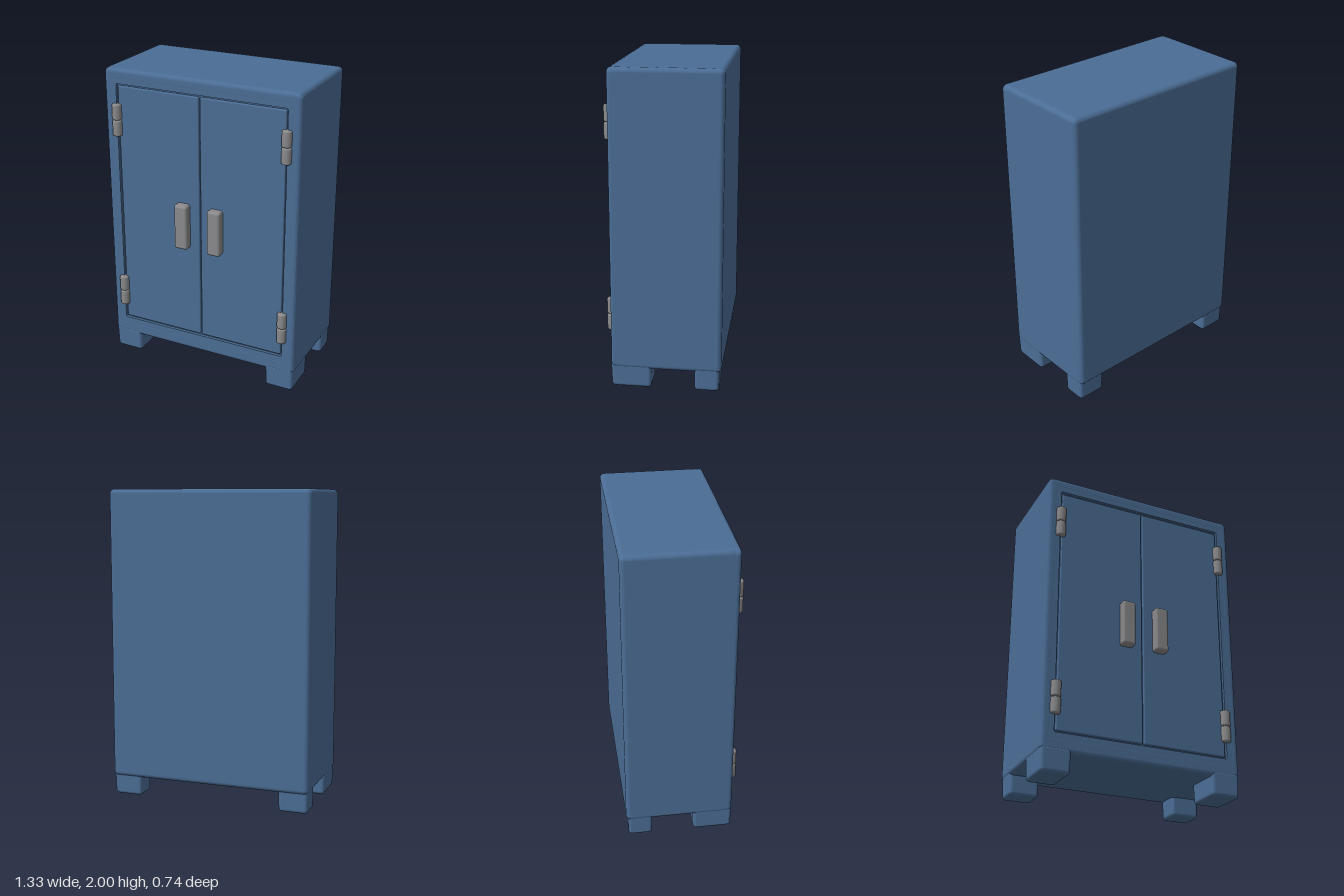
import * as THREE from 'three';
import { RoundedBoxGeometry } from 'three/addons/geometries/RoundedBoxGeometry.js';

const blue = new THREE.MeshStandardMaterial({ color: 0x4b6d95 });
blue.name = 'blue paint';
const grey = new THREE.MeshStandardMaterial({ color: 0x8a8a8c });
grey.name = 'grey metal';

// Rounded box given by its two extreme corners
function roundedBox(name, material, [x0, y0, z0], [x1, y1, z1], radius) {
  const geometry = new RoundedBoxGeometry(x1 - x0, y1 - y0, z1 - z0, 4, radius);
  const mesh = new THREE.Mesh(geometry, material);
  mesh.position.set((x0 + x1) / 2, (y0 + y1) / 2, (z0 + z1) / 2);
  mesh.name = name;
  return mesh;
}

// Rounded rectangle centred on x = 0
function roundRect(Type, halfWidth, y0, y1, r) {
  const p = new Type();
  p.moveTo(-halfWidth + r, y0);
  p.lineTo(halfWidth - r, y0);
  p.absarc(halfWidth - r, y0 + r, r, -Math.PI / 2, 0);
  p.absarc(halfWidth - r, y1 - r, r, 0, Math.PI / 2);
  p.absarc(-halfWidth + r, y1 - r, r, Math.PI / 2, Math.PI);
  p.absarc(-halfWidth + r, y0 + r, r, Math.PI, Math.PI * 1.5);
  return p;
}

export function createModel() {
  const model = new THREE.Group();
  model.name = 'cabinet';

  // Case, whose front face is the floor of the grooves round the doors
  model.add(roundedBox('case', blue, [-0.665, 0.125, -0.37], [0.665, 2, 0.3], 0.03));

  // Front frame with soft outer edges
  const bevel = 0.025;
  const outer = roundRect(THREE.Shape, 0.665 - bevel, 0.125 + bevel, 2 - bevel, 0.01);
  outer.holes.push(roundRect(THREE.Path, 0.62, 0.2, 1.945, 0.01));
  const frameGeometry = new THREE.ExtrudeGeometry(outer, {
    depth: 0.04, bevelSize: bevel, bevelThickness: bevel, bevelSegments: 4, curveSegments: 4,
  });
  const frame = new THREE.Mesh(frameGeometry, blue);
  frame.position.z = 0.255;
  frame.name = 'frontFrame';
  model.add(frame);

  // Crisp inner rim of the frame
  const rimShape = roundRect(THREE.Shape, 0.63, 0.18, 1.965, 0.01);
  rimShape.holes.push(roundRect(THREE.Path, 0.581, 0.245, 1.904, 0.01));
  const rim = new THREE.Mesh(
    new THREE.ExtrudeGeometry(rimShape, { depth: 0.03, bevelEnabled: false, curveSegments: 4 }), blue);
  rim.position.z = 0.2895;
  rim.name = 'frameRim';
  model.add(rim);

  // Hinge knuckle with rounded ends
  const knuckleGeometry = new THREE.LatheGeometry([
    [0, -0.052], [0.022, -0.052], [0.029, -0.049], [0.032, -0.042],
    [0.032, 0.042], [0.029, 0.049], [0.022, 0.052], [0, 0.052],
  ].map(([x, y]) => new THREE.Vector2(x, y)), 24);

  for (const side of [-1, 1]) {
    const label = side > 0 ? 'left' : 'right';
    const span = (a, b) => (side > 0 ? [a, b] : [-b, -a]);

    // Door and handle
    const [d0, d1] = span(0.004, 0.571);
    model.add(roundedBox(label + 'Door', blue, [d0, 0.257, 0.28], [d1, 1.891, 0.317], 0.008));
    const [h0, h1] = span(0.07, 0.161);
    model.add(roundedBox(label + 'Handle', grey, [h0, 0.88, 0.3], [h1, 1.183, 0.37], 0.018));

    // Upper and lower hinges, two knuckles each
    for (const y of [0.46, 1.67]) {
      const hinge = new THREE.Group();
      hinge.name = label + (y > 1 ? 'Upper' : 'Lower') + 'Hinge';
      for (const dy of [-0.053, 0.053]) {
        const knuckle = new THREE.Mesh(knuckleGeometry, grey);
        knuckle.position.y = dy;
        knuckle.name = 'hingeKnuckle';
        hinge.add(knuckle);
      }
      hinge.position.set(side * 0.579, y, 0.321);
      model.add(hinge);
    }

    // Feet, tapering slightly toward the floor
    const [f0, f1] = span(0.467, 0.661);
    for (const [name, z0, z1] of [['FrontFoot', 0.065, 0.322], ['BackFoot', -0.358, -0.2]]) {
      const foot = roundedBox(label + name, blue, [f0, 0, z0], [f1, 0.16, z1], 0.022);
      const p = foot.geometry.attributes.position;
      for (let i = 0; i < p.count; i++) {
        const k = 1 - 0.04 * (0.5 - p.getY(i) / 0.16);
        p.setX(i, p.getX(i) * k);
        p.setZ(i, p.getZ(i) * k);
      }
      model.add(foot);
    }
  }
  return model;
}
